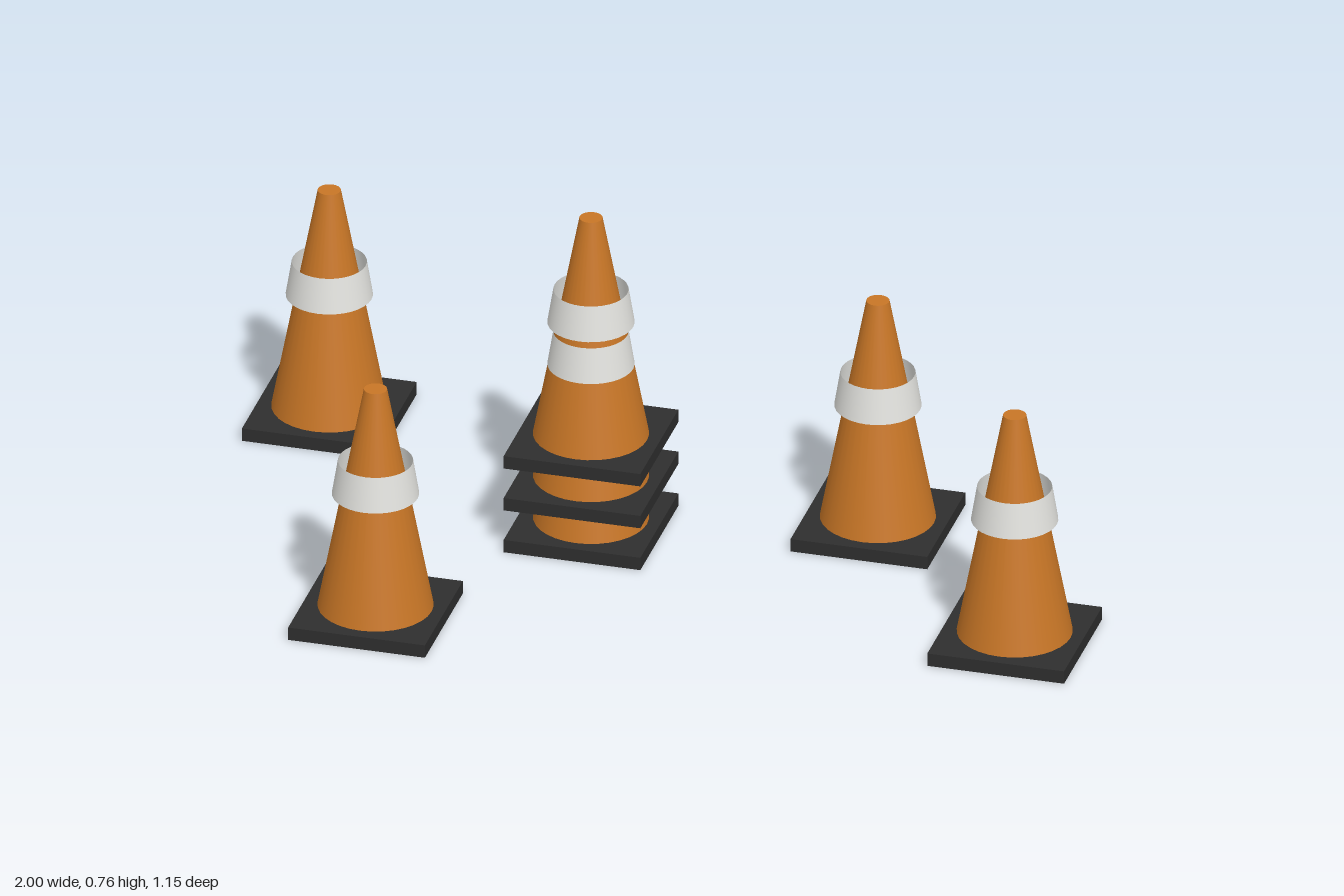
import * as THREE from 'three';

const orange = new THREE.MeshStandardMaterial({ color: 0xc87626 });
orange.name = 'coneOrange';
const white = new THREE.MeshStandardMaterial({ color: 0xe2e2de, side: THREE.DoubleSide });
white.name = 'bandWhite';
const black = new THREE.MeshStandardMaterial({ color: 0x2e2e2e });
black.name = 'rubberBlack';

const SEGMENTS = 32;
const BASE = 0.305, BASE_H = 0.03, HEIGHT = 0.555;

const baseGeo = new THREE.BoxGeometry(BASE, BASE_H, BASE).translate(0, BASE_H / 2, 0);
const bodyGeo = new THREE.CylinderGeometry(0.025, 0.125, HEIGHT - BASE_H, SEGMENTS)
  .translate(0, (HEIGHT + BASE_H) / 2, 0);
// Open sleeve standing slightly off the cone
const bandGeo = new THREE.CylinderGeometry(0.081, 0.094, 0.08, SEGMENTS, 1, true)
  .translate(0, 0.341, 0);

function makeCone(x, y, z) {
  const cone = new THREE.Group();
  cone.name = 'trafficCone';
  const parts = [['base', baseGeo, black], ['coneBody', bodyGeo, orange], ['reflectiveBand', bandGeo, white]];
  for (const [name, geometry, material] of parts) {
    const mesh = new THREE.Mesh(geometry, material);
    mesh.name = name;
    cone.add(mesh);
  }
  cone.position.set(x, y, z);
  return cone;
}

export function createModel() {
  const group = new THREE.Group();
  group.name = 'trafficCones';

  // Single cones
  const spots = [[-0.847, -0.424], [-0.508, 0.424], [0.424, -0.254], [0.847, 0.17]];
  for (const [x, z] of spots) group.add(makeCone(x, 0, z));

  // Three nested cones
  const stack = new THREE.Group();
  stack.name = 'coneStack';
  for (let i = 0; i < 3; i++) stack.add(makeCone(-0.169, i * 0.102, -0.085));
  group.add(stack);

  return group;
}
